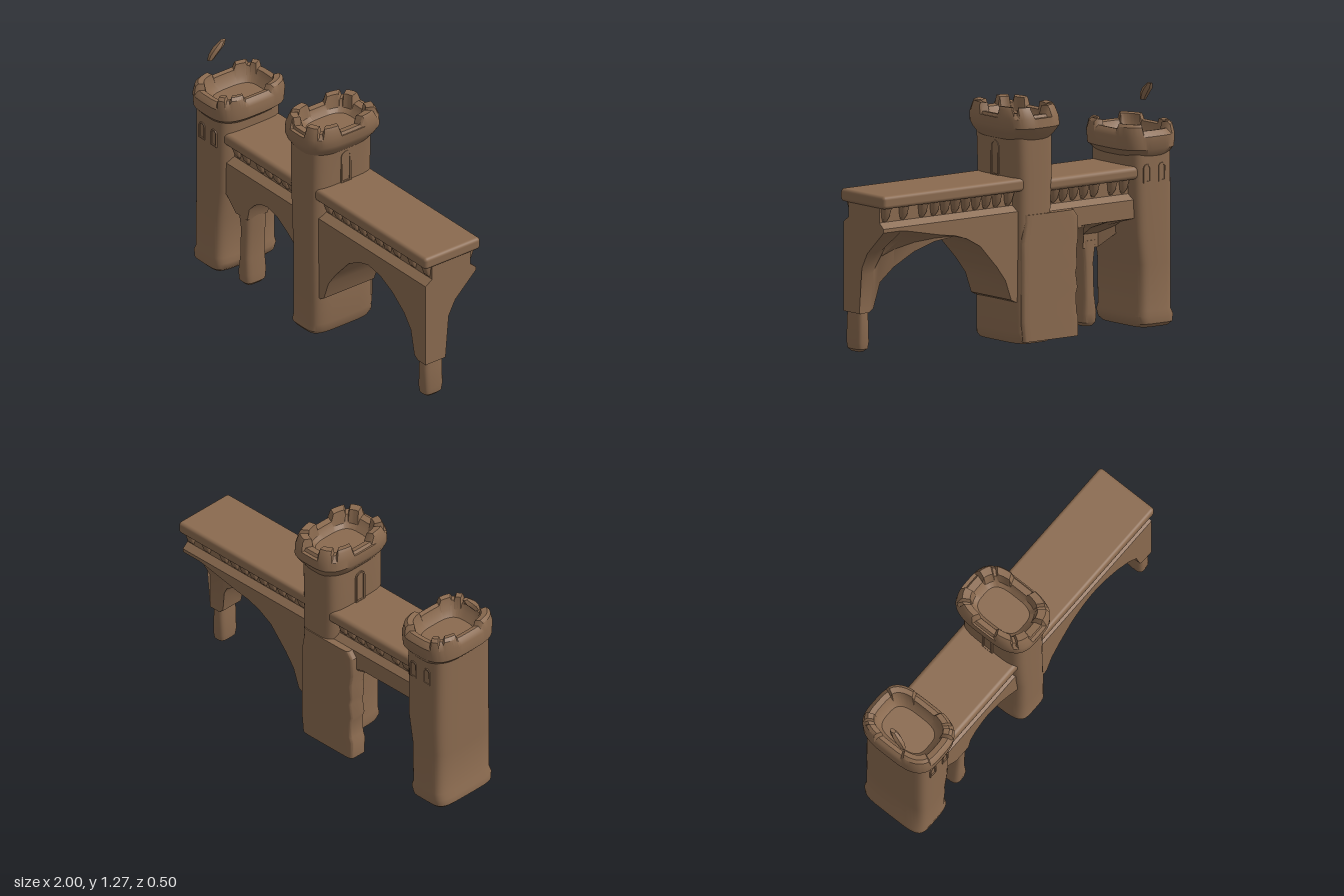
import * as THREE from 'three';
import { toCreasedNormals } from 'three/addons/utils/BufferGeometryUtils.js';
import { RoundedBoxGeometry } from 'three/addons/geometries/RoundedBoxGeometry.js';

const stone = new THREE.MeshStandardMaterial({ color: 0x8a6a4f });
stone.name = 'brown stone';

// Skin a list of rings of [x, y, z] points and cap both ends
function loft(rings, crease = 0.6) {
  const n = rings[0].length, pos = rings.flat(2), idx = [];
  for (let i = 0; i < rings.length - 1; i++) for (let j = 0; j < n; j++) {
    const a = i * n + j, b = i * n + (j + 1) % n, c = b + n, d = a + n;
    idx.push(a, d, c, a, c, b);
  }
  [0, rings.length - 1].forEach((r, k) => {
    const mid = [0, 1, 2].map(q => rings[r].reduce((s, p) => s + p[q], 0) / n);
    const m = pos.length / 3;
    pos.push(...mid);
    for (let j = 0; j < n; j++) {
      const a = r * n + j, b = r * n + (j + 1) % n;
      idx.push(m, k ? b : a, k ? a : b);
    }
  });
  const g = new THREE.BufferGeometry();
  g.setAttribute('position', new THREE.Float32BufferAttribute(pos, 3));
  g.setIndex(idx);
  return toCreasedNormals(g, crease);
}

// Upright rounded-rectangle column: rows of [y, x0, x1, z0, z1, notched]
function column(rows, power = 4, n = 40, notches = []) {
  const curve = v => Math.sign(v) * Math.abs(v) ** (2 / power);
  return loft(rows.map(([y, x0, x1, z0, z1, cut]) => Array.from({ length: n }, (_, j) => {
    const deg = j / n * 360, t = deg * Math.PI / 180;
    let drop = 0;
    if (cut) for (const [c, half, depth] of notches)
      if (Math.abs((deg - c + 540) % 360 - 180) < half) drop = depth;
    return [(x0 + x1) / 2 + (x1 - x0) / 2 * curve(Math.cos(t)), y - drop,
      (z0 + z1) / 2 + (z1 - z0) / 2 * curve(Math.sin(t))];
  })));
}

// Thin arched window surround
function windowFrame(w, h, t) {
  const arch = (P, r, y0) => {
    const p = new P();
    p.moveTo(-r, y0);
    p.lineTo(r, y0);
    p.lineTo(r, h - w);
    p.absarc(0, h - w, r, 0, Math.PI, false);
    p.lineTo(-r, y0);
    return p;
  };
  const s = arch(THREE.Shape, w, 0);
  s.holes.push(arch(THREE.Path, w - t, t));
  return new THREE.ExtrudeGeometry(s, { depth: 0.025, bevelEnabled: false, curveSegments: 5 });
}

// Arched wall: stations of [x, underside y, depth 0..1 (1 = reaches the back), back underside y]
function archWall(stations, top) {
  return loft(stations.map(([x, y, depth, yb]) => {
    const zi = 0.04 - 0.2 * depth, zk = (zi * 2 - 0.16) / 3;
    return [[0.175, y], [0.175, top - 0.18], [0.13, top - 0.15], [0.13, top - 0.05],
      [-0.13, top - 0.05], [-0.13, top - 0.15], [-0.165, top - 0.18], [-0.165, yb],
      [zk, y + (yb - y) * 0.72], [zi, y + (yb - y) * 0.45], [zi, y]].map(([z, h]) => [x, h, z]);
  }), 0.7);
}

export function createModel() {
  const model = new THREE.Group();
  const add = (name, geo, x = 0, y = 0, z = 0, ry = 0) => {
    const m = new THREE.Mesh(geo, stone);
    m.name = name;
    m.position.set(x, y, z);
    m.rotation.y = ry;
    model.add(m);
    return m;
  };

  // End tower
  add('endTowerShaft', column([
    [0.01, -0.96, -0.75, -0.18, 0.19], [0.03, -0.98, -0.73, -0.2, 0.21], [0.07, -0.98, -0.72, -0.205, 0.215],
    [0.1, -0.965, -0.73, -0.2, 0.21], [0.35, -0.965, -0.725, -0.2, 0.21], [0.52, -0.965, -0.7, -0.205, 0.21],
    [0.93, -0.965, -0.69, -0.2, 0.21], [1, -0.965, -0.69, -0.2, 0.21]], 5));
  add('endTowerCrown', column([
    [0.93, -0.96, -0.69, -0.2, 0.2], [0.97, -0.998, -0.645, -0.23, 0.235], [1.04, -1, -0.64, -0.235, 0.24],
    [1.09, -0.99, -0.65, -0.225, 0.23, 1], [1.105, -0.975, -0.665, -0.21, 0.215, 1],
    [1.1, -0.95, -0.69, -0.18, 0.185, 1], [1.03, -0.94, -0.7, -0.165, 0.17], [0.99, -0.91, -0.73, -0.13, 0.13]],
  3.3, 96, [[90, 22, 0.035], [0, 14, 0.03], [180, 14, 0.03], [270, 22, 0.035], [45, 5, 0.02], [225, 5, 0.02]]));

  // Middle tower
  add('middleTowerShaft', column([
    [0.01, -0.14, 0.08, -0.19, 0.2], [0.03, -0.145, 0.09, -0.2, 0.215], [0.07, -0.14, 0.095, -0.2, 0.21],
    [0.22, -0.14, 0.095, -0.2, 0.21], [0.5, -0.14, 0.09, -0.2, 0.21], [0.6, -0.15, 0.09, -0.2, 0.21],
    [0.9, -0.165, 0.09, -0.2, 0.21], [1.18, -0.165, 0.1, -0.2, 0.21]], 4.5));
  add('middleTowerCrown', column([
    [1.1, -0.165, 0.1, -0.2, 0.21], [1.14, -0.195, 0.13, -0.23, 0.235], [1.17, -0.21, 0.145, -0.25, 0.245],
    [1.22, -0.205, 0.145, -0.245, 0.245, 0], [1.265, -0.195, 0.138, -0.225, 0.225, 1],
    [1.28, -0.185, 0.13, -0.215, 0.22, 1], [1.275, -0.155, 0.095, -0.175, 0.18, 1],
    [1.2, -0.145, 0.085, -0.16, 0.16], [1.15, -0.1, 0.04, -0.1, 0.1]],
  3.3, 96, [0, 45, 90, 135, 180, 225, 270, 315].map(a => [a, a % 90 ? 4 : 8, a % 90 ? 0.03 : 0.045])));

  // Ragged buttress behind the middle tower
  add('buttress', column([
    [0.02, -0.31, 0.06], [0.12, -0.312, 0.07], [0.15, -0.3, 0.07], [0.25, -0.298, 0.07], [0.28, -0.308, 0.07],
    [0.36, -0.295, 0.07], [0.4, -0.305, 0.07], [0.48, -0.3, 0.07], [0.55, -0.312, 0.07], [0.66, -0.31, 0.05],
    [0.7, -0.28, 0.05]].map(([y, a, b]) => [y, a, b, -0.205, -0.09]), 9));

  // Long arch with its front leg
  add('longArchWall', archWall([
    [0.03, 0.23, 1, 0.23], [0.09, 0.235, 1, 0.235], [0.12, 0.25, 1, 0.25], [0.16, 0.36, 1, 0.36],
    [0.22, 0.44, 1, 0.44], [0.33, 0.56, 1, 0.56], [0.42, 0.61, 1, 0.61], [0.5, 0.63, 0.98, 0.635],
    [0.6, 0.61, 0.8, 0.65], [0.7, 0.56, 0.55, 0.67], [0.8, 0.48, 0.3, 0.69], [0.86, 0.4, 0.1, 0.7],
    [0.89, 0.26, 0, 0.7], [0.92, 0.24, 0, 0.7], [0.985, 0.24, 0, 0.7]], 0.9));
  add('longArchLeg', column([
    [0.03, 0.925, 0.965, 0.07, 0.145], [0.045, 0.905, 0.98, 0.05, 0.165], [0.08, 0.9, 0.985, 0.045, 0.17],
    [0.2, 0.905, 0.98, 0.045, 0.17], [0.3, 0.91, 0.975, 0.05, 0.165]], 3.5, 24));

  // Short arch with its front pillar
  add('shortArchWall', archWall([
    [-0.76, 0.54, 0.5, 0.6], [-0.7, 0.5, 0.3, 0.6], [-0.63, 0.43, 0, 0.6], [-0.53, 0.43, 0, 0.6],
    [-0.515, 0.5, 0.1, 0.6], [-0.47, 0.55, 0.4, 0.6], [-0.41, 0.58, 0.8, 0.6], [-0.36, 0.59, 1, 0.6],
    [-0.28, 0.57, 1, 0.58], [-0.2, 0.52, 1, 0.53], [-0.12, 0.46, 1, 0.48]], 0.88));
  add('shortArchPillar', column([
    [0.01, -0.61, -0.55, 0.05, 0.15], [0.03, -0.628, -0.532, 0.035, 0.17], [0.08, -0.63, -0.53, 0.03, 0.175],
    [0.18, -0.615, -0.54, 0.035, 0.17], [0.35, -0.61, -0.535, 0.035, 0.17], [0.47, -0.63, -0.525, 0.035, 0.175]], 3.5, 24));

  // Walkway slabs
  add('longDeck', new RoundedBoxGeometry(0.96, 0.07, 0.375, 3, 0.02), 0.52, 0.863, 0);
  add('shortDeck', new RoundedBoxGeometry(0.62, 0.07, 0.375, 3, 0.025), -0.42, 0.845, 0);

  // Rows of small brackets under the walkways
  const bracket = column([[0, -0.012, 0.012, -0.03, 0], [0.03, -0.02, 0.02, -0.03, 0.025],
    [0.09, -0.026, 0.026, -0.03, 0.045]], 5, 16);
  const brackets = (xs, y) => xs.forEach(x => [1, -1].forEach(s =>
    add('bracket', bracket, x, y, s * 0.125, s > 0 ? 0 : Math.PI)));
  brackets([0.12, 0.2, 0.27, 0.34, 0.41, 0.48, 0.55, 0.62, 0.7, 0.83, 0.95], 0.745);
  brackets([-0.66, -0.58, -0.46, -0.39, -0.32, -0.25, -0.19], 0.73);

  // Window surrounds
  const slit = windowFrame(0.024, 0.1, 0.008);
  for (const x of [-0.87, -0.77]) {
    add('slitWindow', slit, x, 0.79, 0.19);
    add('slitWindow', slit, x, 0.79, -0.18, Math.PI);
  }
  const door = windowFrame(0.034, 0.19, 0.009);
  add('towerDoorway', door, 0.074, 0.895, 0.005, Math.PI / 2);
  add('towerDoorway', door, -0.148, 0.875, 0.005, -Math.PI / 2);

  // Loose stone above the end tower
  add('looseStone', loft([[1.18, 0.08, 0.013], [1.215, 0.06, 0.02], [1.25, 0.03, 0.022], [1.28, 0.005, 0.012]]
    .map(([y, z, r], i) => [0, 1, 2, 3, 4, 5].map(k => [
      -0.965 + 0.004 * i + r * Math.cos(k * Math.PI / 3), y, z + 1.5 * r * Math.sin(k * Math.PI / 3)])), 0.5));

  return model;
}
